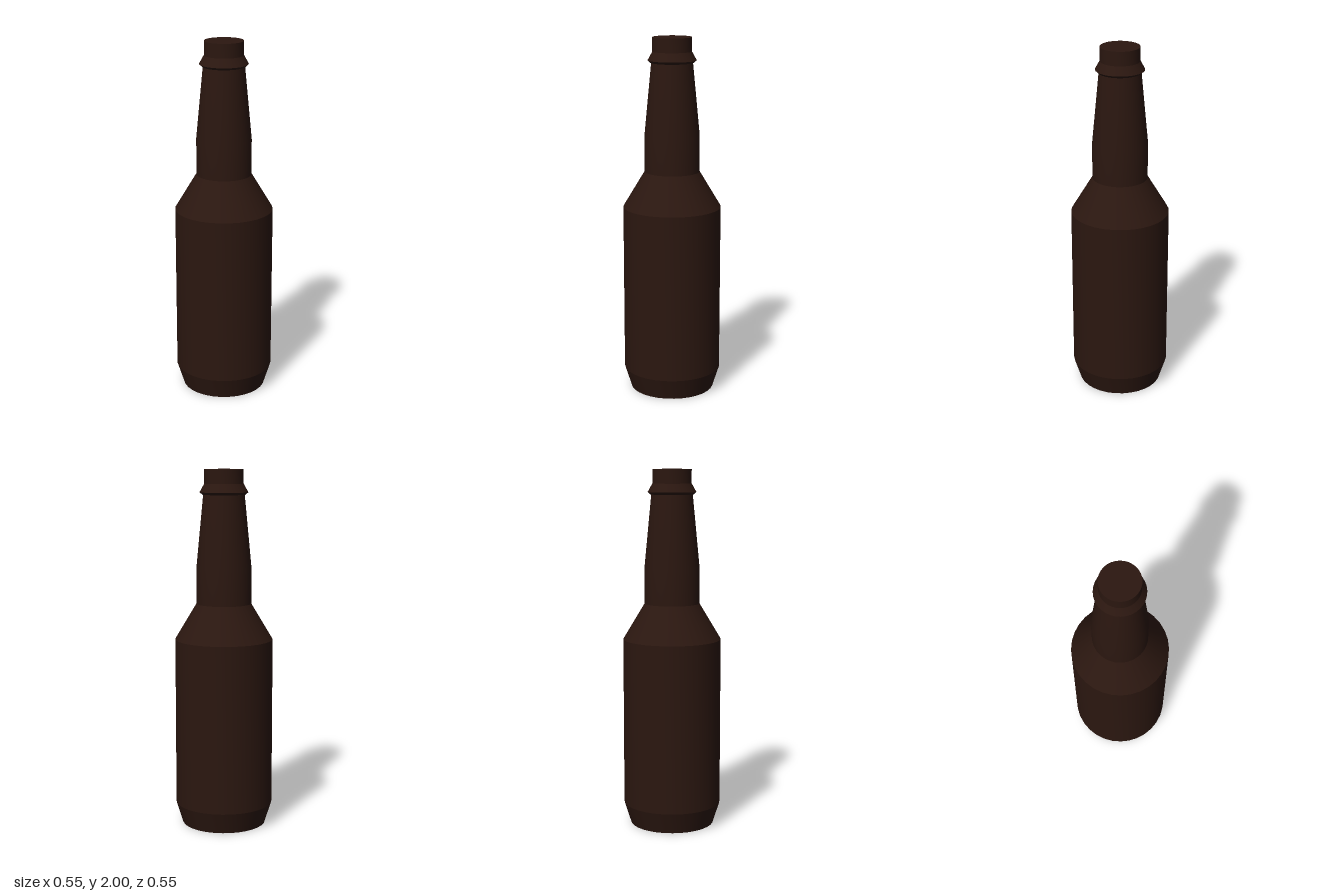
import * as THREE from 'three';
import { toCreasedNormals } from 'three/addons/utils/BufferGeometryUtils.js';

const SIDES = 32;

// Revolve a profile of [radius, height] pairs, keeping the profile edges sharp
function revolve(name, profile, material) {
  const points = profile.map(([r, y]) => new THREE.Vector2(r, y));
  const geometry = toCreasedNormals(new THREE.LatheGeometry(points, SIDES, Math.PI / 2), 0.25);
  const mesh = new THREE.Mesh(geometry, material);
  mesh.name = name;
  return mesh;
}

export function createModel() {
  const group = new THREE.Group();
  group.name = 'bottle';
  const glass = new THREE.MeshStandardMaterial({ color: 0x2b1710 });

  // Body: flat base, bevelled foot, straight wall and sloping shoulder
  group.add(revolve('body', [
    [0, 0], [0.235, 0], [0.273, 0.12], [0.273, 1.06], [0.153, 1.26],
  ], glass));

  // Neck: short straight part, then a long taper
  group.add(revolve('neck', [
    [0.153, 1.26], [0.153, 1.46], [0.114, 1.865],
  ], glass));

  // Collar below the mouth, flared at its lower edge
  group.add(revolve('collar', [
    [0.114, 1.865], [0.12, 1.862], [0.134, 1.875], [0.108, 1.922],
  ], glass));

  // Mouth, closed at the top
  group.add(revolve('mouth', [
    [0.108, 1.922], [0.108, 2], [0, 2],
  ], glass));

  return group;
}
